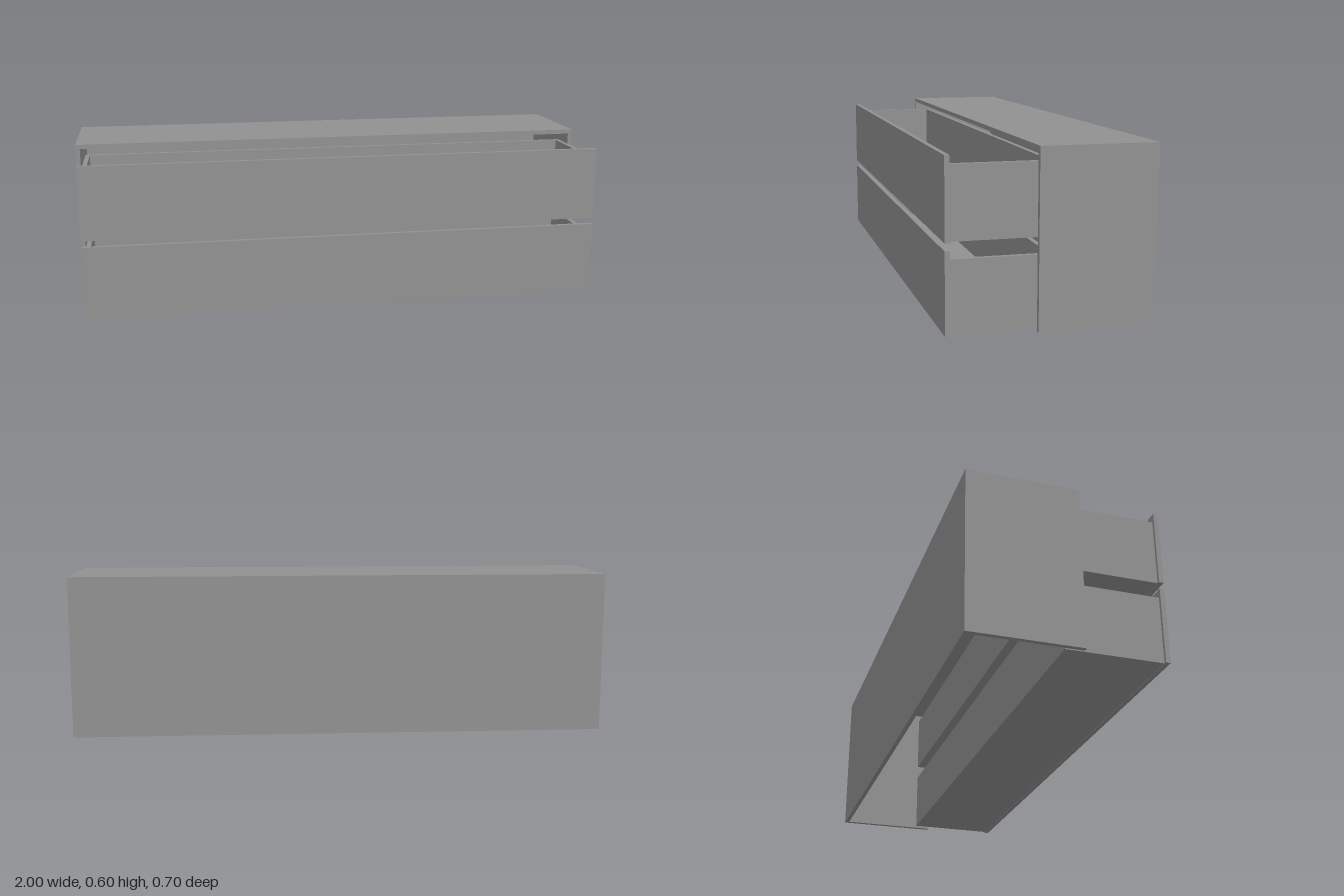
import * as THREE from 'three';

const T = 0.0167; // board thickness

export function createModel() {
  const model = new THREE.Group();
  model.name = 'drawerCabinet';
  const grey = new THREE.MeshStandardMaterial({ color: 0x919191 });
  grey.name = 'grey';

  // board given by its min and max corners
  function board(parent, name, [x0, y0, z0], [x1, y1, z1]) {
    const mesh = new THREE.Mesh(new THREE.BoxGeometry(x1 - x0, y1 - y0, z1 - z0), grey);
    mesh.position.set((x0 + x1) / 2, (y0 + y1) / 2, (z0 + z1) / 2);
    mesh.name = name;
    parent.add(mesh);
  }

  // cabinet shell, open at the front and underneath
  const cabinet = new THREE.Group();
  cabinet.name = 'cabinet';
  model.add(cabinet);
  board(cabinet, 'topPanel', [-1, 0.6 - T, -0.35], [1, 0.6, 0.05]);
  board(cabinet, 'backPanel', [-1 + T, 0, -0.35], [1 - T, 0.6 - T, -0.35 + T]);
  board(cabinet, 'rightPanel', [-1, 0, -0.35], [-1 + T, 0.6 - T, 0.05]);
  board(cabinet, 'leftPanel', [1 - T, 0, -0.35], [1, 0.6 - T, 0.05]);

  // two pulled-out drawers, open on top
  const W = 0.967, back = -0.012, front = 0.35 - T;
  [['lowerDrawer', 0.003], ['upperDrawer', 0.303]].forEach(([name, y]) => {
    const drawer = new THREE.Group();
    drawer.name = name;
    drawer.position.y = y;
    model.add(drawer);
    const low = 0.002, high = 0.246;
    board(drawer, 'drawerFront', [-0.978, 0, front], [0.978, 0.275, 0.35]);
    board(drawer, 'drawerFloor', [-W + T, low, back + T], [W - T, low + T, front]);
    board(drawer, 'drawerBack', [-W + T, low, back], [W - T, high, back + T]);
    board(drawer, 'drawerRightSide', [-W, low, back], [-W + T, high, front]);
    board(drawer, 'drawerLeftSide', [W - T, low, back], [W, high, front]);
  });

  return model;
}
